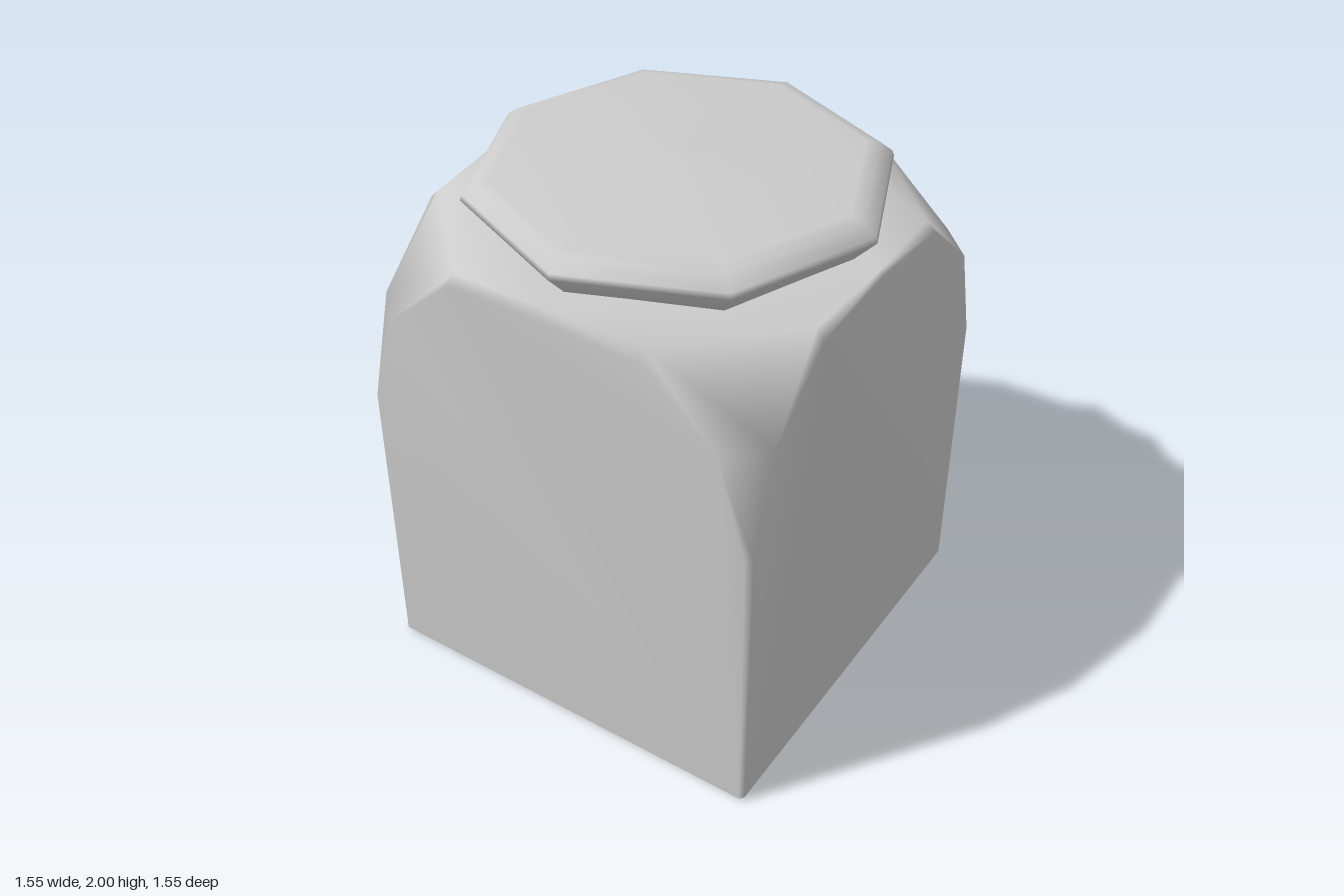
import * as THREE from 'three';
import { ConvexGeometry } from 'three/addons/geometries/ConvexGeometry.js';
import { mergeVertices } from 'three/addons/utils/BufferGeometryUtils.js';

const material = new THREE.MeshStandardMaterial({ color: 0xcccccc });

// Block with arched sides: each face has its own slightly inset outline,
// so the hull between the outlines forms narrow bevels and cut corners.
function createBody() {
  const W = 0.777;
  // half outline of one side face: across, up
  const arch = [[0, 1.8], [0.375, 1.77], [0.65, 1.525], [0.757, 1.15], [0.762, 0.015]];
  const points = [];
  const add = (x, y, z) => points.push(new THREE.Vector3(x, y, z));

  for (const s of [-1, 1]) {
    for (const [u, y] of arch) {
      for (const m of u === 0 ? [1] : [-1, 1]) {
        add(u * m, y, W * s);
        add(W * s, y, u * m);
      }
    }
    // top and bottom outlines
    add(0, 1.82, 0.765 * s);
    add(0.765 * s, 1.82, 0);
    for (const m of [-1, 1]) {
      add(0.37 * m, 1.803, 0.745 * s);
      add(0.745 * s, 1.803, 0.37 * m);
      add(0.762 * m, 0, 0.762 * s);
    }
  }

  // area-weighted normals keep the large faces flat and the bevels soft
  let geometry = new ConvexGeometry(points);
  geometry.deleteAttribute('normal');
  geometry = mergeVertices(geometry, 1e-4);
  geometry.computeVertexNormals();
  const mesh = new THREE.Mesh(geometry, material);
  mesh.name = 'body';
  return mesh;
}

// Eight-sided domed lid with a bulging rim
function createLid() {
  const profile = [
    [0, 1.8], [0.65, 1.8], [0.67, 1.825], [0.742, 1.905], [0.735, 1.925],
    [0.69, 1.962], [0.64, 1.974], [0.33, 1.991], [0, 2],
  ].map(([r, y]) => new THREE.Vector2(r, y));
  const mesh = new THREE.Mesh(new THREE.LatheGeometry(profile, 8), material);
  mesh.position.z = -0.01;
  mesh.name = 'lid';
  return mesh;
}

export function createModel() {
  const group = new THREE.Group();
  group.name = 'liddedBlock';
  group.add(createBody(), createLid());
  return group;
}
